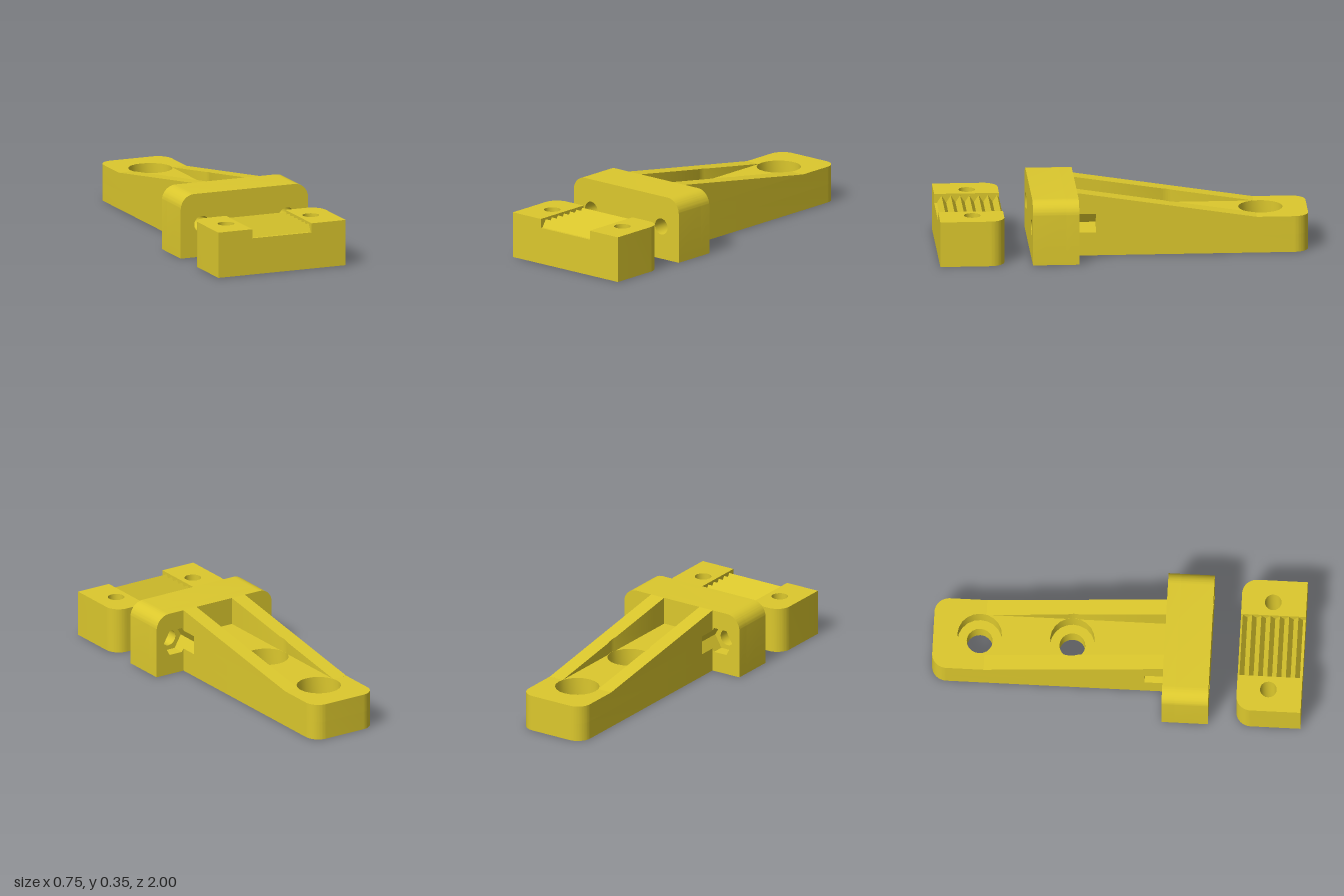
import * as THREE from 'three';
import { toCreasedNormals } from 'three/addons/utils/BufferGeometryUtils.js';

const HOLE_X = 0.25, HOLE_R = 0.045, NUT_Y = 0.18, NUT_R = 0.08, CORNER = 0.08;
const SCREW_Z = [-0.75, -0.25], BORE_R = 0.12, POCKET_X = 0.115, ARM_X = 0.2, FLOOR = 0.2;

// Height of the arm's sloping top edge
const slope = (z) => FLOOR + 0.15 * Math.max(0, (z + 0.72) / 0.97);

// Rectangle whose two upper corners may be rounded
function panel(x0, y0, x1, y1, rLeft, rRight) {
  const s = new THREE.Shape().moveTo(x0, y0).lineTo(x1, y0);
  if (rRight) s.absarc(x1 - rRight, y1 - rRight, rRight, 0, Math.PI / 2, false);
  else s.lineTo(x1, y1);
  if (rLeft) s.absarc(x0 + rLeft, y1 - rLeft, rLeft, Math.PI / 2, Math.PI, false);
  else s.lineTo(x0, y1);
  s.closePath();
  return s;
}

function addHole(shape, x, y, r) {
  shape.holes.push(new THREE.Path().absarc(x, y, r, 0, Math.PI * 2, true));
}

function addHexHole(shape, x, y, r) {
  const pts = [];
  for (let i = 0; i < 6; i++) {
    const a = -i * Math.PI / 3;
    pts.push(new THREE.Vector2(x + r * Math.cos(a), y + r * Math.sin(a)));
  }
  shape.holes.push(new THREE.Path(pts));
}

const polygon = (pts) => new THREE.Shape(pts.map(([x, y]) => new THREE.Vector2(x, y)));

const extrude = (shape, depth) =>
  new THREE.ExtrudeGeometry(shape, { depth, bevelEnabled: false, curveSegments: 10 });

// Plan shape drawn in (x, -z), extruded upwards from y0
const slab = (shape, y0, height) => extrude(shape, height).rotateX(-Math.PI / 2).translate(0, y0, 0);

// Move the vertices above a level onto the slope
function slopeTop(geo, level) {
  const p = geo.attributes.position;
  for (let i = 0; i < p.count; i++) if (p.getY(i) > level) p.setY(i, slope(p.getZ(i)));
  geo.computeVertexNormals();
  return geo;
}

export function createModel() {
  const material = new THREE.MeshStandardMaterial({ color: 0xdcc82d });
  const model = new THREE.Group();
  model.name = 'clampBracket';
  const bracket = new THREE.Group();
  bracket.name = 'bracket';
  const clamp = new THREE.Group();
  clamp.name = 'clampBlock';
  model.add(bracket, clamp);

  const add = (parent, name, geo) => {
    const mesh = new THREE.Mesh(toCreasedNormals(geo, 0.5), material);
    mesh.name = name;
    parent.add(mesh);
  };

  // Arm floor: narrow screw holes below, counterbores above
  for (const [name, y0, r] of [['armBase', 0, 0.07], ['armCounterbores', 0.1, BORE_R]]) {
    const s = panel(-ARM_X, -0.15, ARM_X, 1, CORNER, CORNER);
    for (const z of SCREW_Z) addHole(s, 0, -z, r);
    add(bracket, name, slab(s, y0, 0.1));
  }

  // Tapered rails on both sides of the pocket, grooved by the inner counterbore
  const a = Math.acos(POCKET_X / BORE_R);
  for (const side of [1, -1]) {
    const s = new THREE.Shape().moveTo(side * ARM_X, -0.15);
    s.lineTo(side * ARM_X, 0.719).lineTo(side * POCKET_X, 0.719);
    if (side > 0) s.absarc(0, 0.25, BORE_R, a, -a, true);
    else s.absarc(0, 0.25, BORE_R, Math.PI - a, Math.PI + a, false);
    s.lineTo(side * POCKET_X, -0.15).closePath();
    add(bracket, side > 0 ? 'leftRail' : 'rightRail', slopeTop(slab(s, FLOOR, 0.1), FLOOR + 0.05));
  }

  // Arm root with notches that let the nuts slide in
  const h = (NUT_R - (HOLE_X - ARM_X)) * Math.sqrt(3);
  const half = [[ARM_X, 0], [ARM_X, NUT_Y - h], [HOLE_X - NUT_R, NUT_Y], [ARM_X, NUT_Y + h],
    [ARM_X, 0.34], [POCKET_X, 0.34], [POCKET_X, FLOOR]];
  const mirrored = half.map(([x, y]) => [-x, y]).reverse();
  const root = extrude(polygon([...half, ...mirrored]), 0.1).translate(0, 0, 0.15);
  add(bracket, 'armRoot', slopeTop(root, 0.3));

  // Head plate: hexagonal nut seats at the back, bolt holes at the front
  const back = panel(-0.375, 0, 0.375, 0.35, CORNER, CORNER);
  const front = panel(-0.375, 0, 0.375, 0.35, CORNER, CORNER);
  for (const x of [-HOLE_X, HOLE_X]) {
    addHexHole(back, x, NUT_Y, NUT_R);
    addHole(front, x, NUT_Y, HOLE_R);
  }
  add(bracket, 'headPlateNutSeats', extrude(back, 0.07).translate(0, 0, 0.25));
  add(bracket, 'headPlateFront', extrude(front, 0.18).translate(0, 0, 0.32));

  // Clamp cheeks with bolt holes
  for (const side of [1, -1]) {
    const s = side > 0
      ? panel(0.175, -1, 0.375, -0.65, 0, CORNER)
      : panel(-0.375, -1, -0.175, -0.65, CORNER, 0);
    addHole(s, side * HOLE_X, -0.82, HOLE_R);
    add(clamp, side > 0 ? 'leftCheek' : 'rightCheek', slab(s, 0, 0.25));
  }

  // Toothed grip between the cheeks, profile drawn in (-z, y)
  const grip = [[-0.65, 0], [-1, 0], [-1, FLOOR]];
  for (let i = 0; i <= 13; i++) grip.push([-0.985 + i * 0.025, i % 2 ? 0.24 : FLOOR]);
  grip.push([-0.65, 0.224]);
  add(clamp, 'toothedGrip', extrude(polygon(grip), 0.35).rotateY(Math.PI / 2).translate(-0.175, 0, 0));

  return model;
}
